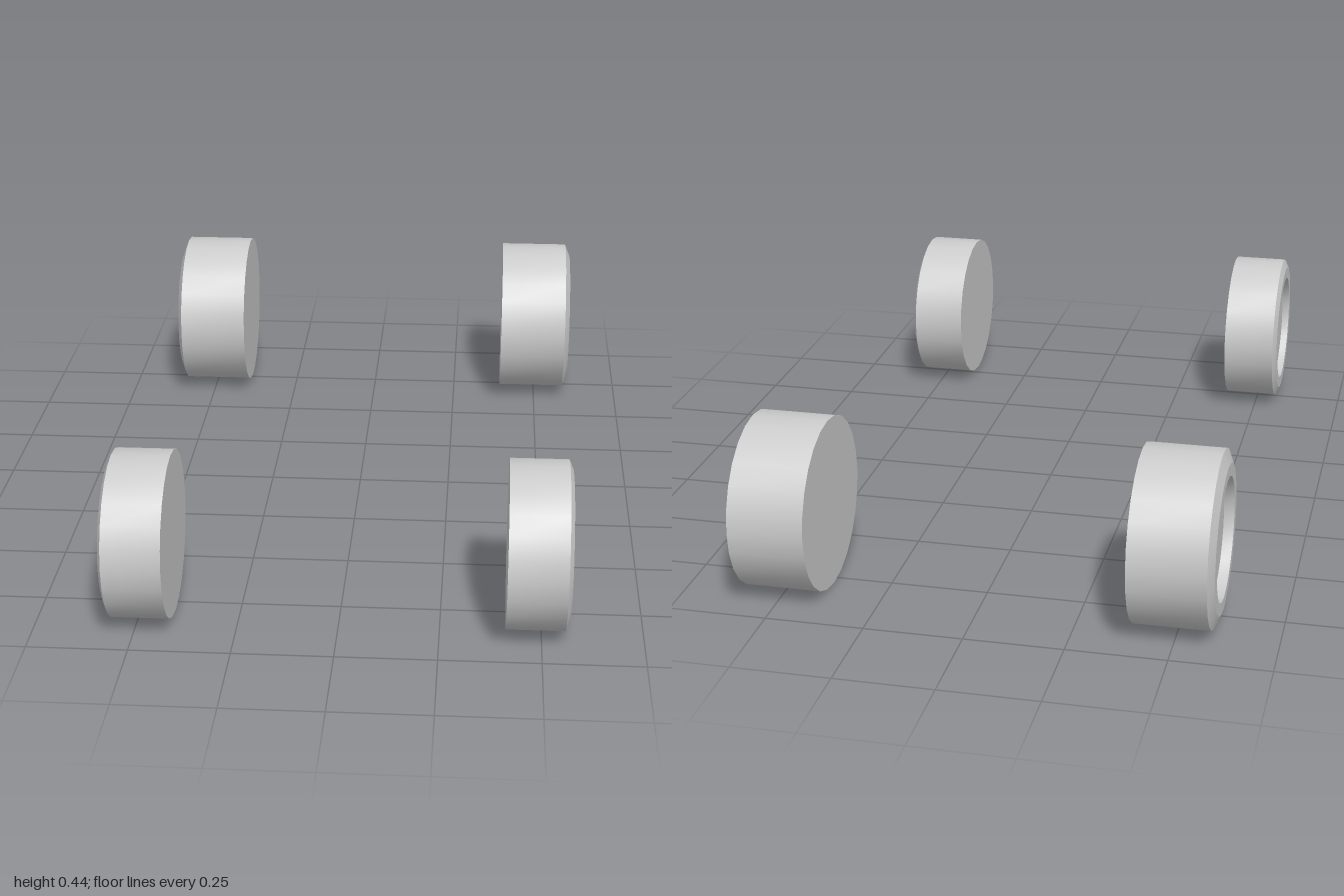
import * as THREE from 'three';
import { toCreasedNormals } from 'three/addons/utils/BufferGeometryUtils.js';

const material = new THREE.MeshStandardMaterial({ color: 0xcccccc });

// Wheel turned around y: flat inner face at 0, chamfered rim and recessed hub on the outer face
function wheelGeometry(radius, width, chamfer, rimRadius, hubRadius, recess) {
  const profile = [
    [0, 0],
    [radius, 0],
    [radius, width - chamfer],
    [rimRadius, width],
    [hubRadius, width],
    [hubRadius, width - recess],
    [0, width - recess],
  ].map(([r, h]) => new THREE.Vector2(r, h));
  return toCreasedNormals(new THREE.LatheGeometry(profile, 24).toNonIndexed(), 0.3);
}

export function createModel() {
  const model = new THREE.Group();

  // Mirrored pair of wheels on one axle line
  function addPair(name, geometry, innerX, y, z) {
    for (const side of [1, -1]) {
      const wheel = new THREE.Mesh(geometry, material);
      wheel.name = name + (side > 0 ? 'Left' : 'Right');
      wheel.rotation.z = -side * Math.PI / 2;
      wheel.position.set(side * innerX, y, z);
      model.add(wheel);
    }
  }

  addPair('frontWheel', wheelGeometry(0.21, 0.155, 0.01, 0.187, 0.155, 0.02), 0.412, 0.213, 0.79);
  addPair('rearWheel', wheelGeometry(0.222, 0.207, 0.014, 0.187, 0.155, 0.026), 0.394, 0.222, -0.778);

  return model;
}
